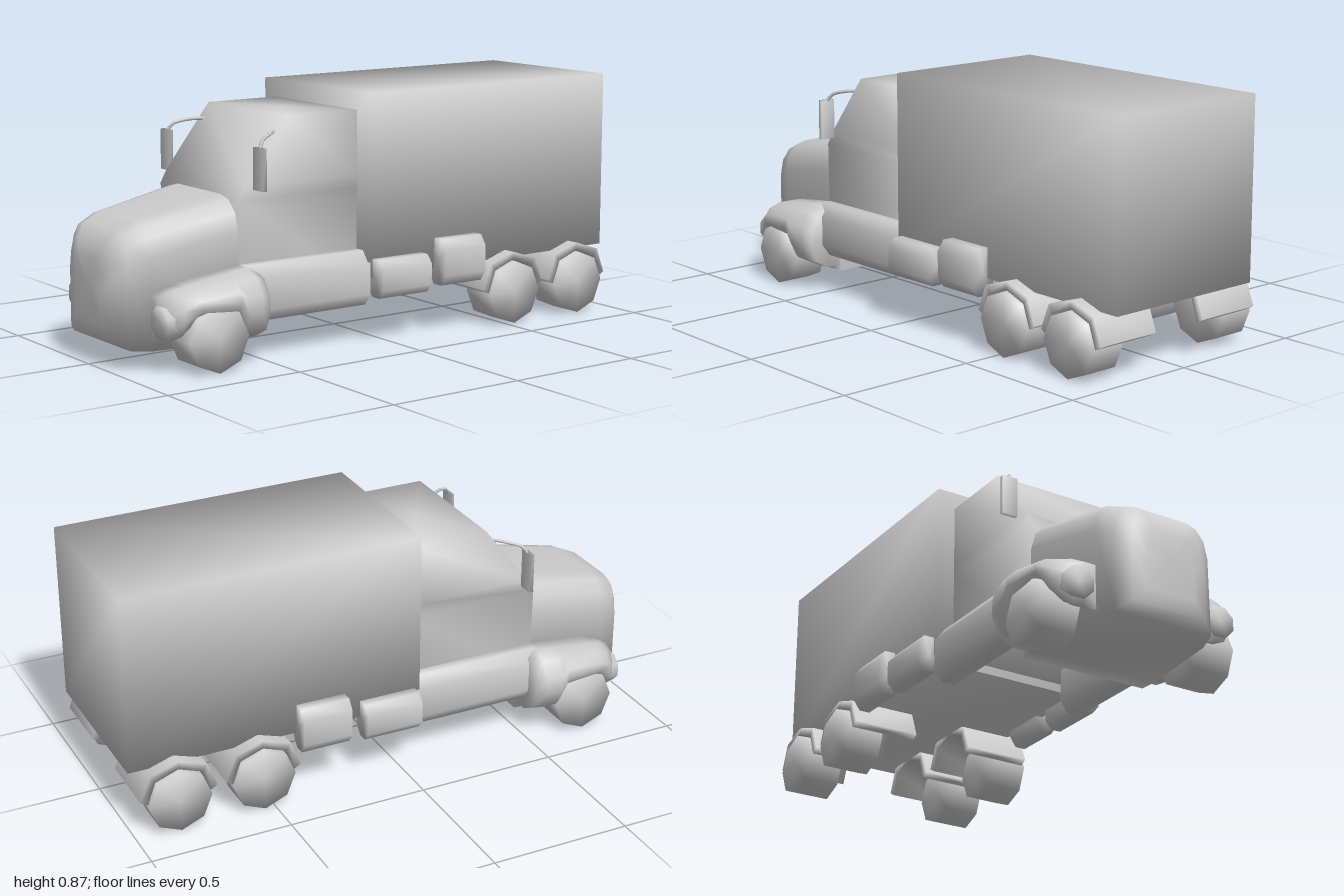
import * as THREE from 'three';
import { mergeVertices } from 'three/addons/utils/BufferGeometryUtils.js';

const paint = new THREE.MeshStandardMaterial({ color: 0xcccccc, side: THREE.DoubleSide });
paint.name = 'plain grey';

// Shared vertices so that normals blend over every edge
function soften(geo) {
  geo.deleteAttribute('uv');
  geo.deleteAttribute('normal');
  const merged = mergeVertices(geo, 1e-4);
  merged.computeVertexNormals();
  return merged;
}

// Skin through closed rings of [x, y, z] points, with optional end caps
function loft(rings, capStart = true, capEnd = true) {
  const n = rings[0].length;
  const points = rings.flat();
  const index = [];
  for (let r = 0; r < rings.length - 1; r++) {
    for (let i = 0; i < n; i++) {
      const a = r * n + i, b = r * n + (i + 1) % n;
      index.push(a, b, b + n, a, b + n, a + n);
    }
  }
  const cap = (r, reverse) => {
    const centre = points.length;
    points.push([0, 1, 2].map(k => rings[r].reduce((sum, p) => sum + p[k], 0) / n));
    for (let i = 0; i < n; i++) {
      const a = r * n + i, b = r * n + (i + 1) % n;
      index.push(centre, ...(reverse ? [b, a] : [a, b]));
    }
  };
  if (capStart) cap(0, true);
  if (capEnd) cap(rings.length - 1, false);

  // Turn all faces outward using the signed volume about the middle
  const v = points.map(p => new THREE.Vector3(...p));
  const mid = new THREE.Box3().setFromPoints(v).getCenter(new THREE.Vector3());
  const rel = v.map(p => p.clone().sub(mid));
  let volume = 0;
  for (let i = 0; i < index.length; i += 3) {
    volume += rel[index[i]].dot(rel[index[i + 1]].clone().cross(rel[index[i + 2]]));
  }
  if (volume < 0) index.reverse();

  const geo = new THREE.BufferGeometry().setFromPoints(v);
  geo.setIndex(index);
  return soften(geo);
}

// Prism along z with chamfered long edges
function tankGeometry(x0, x1, y0, y1, z0, z1) {
  const cx = (x1 - x0) * 0.28, cy = (y1 - y0) * 0.22;
  const section = [
    [x0 + cx, y0], [x1 - cx, y0], [x1, y0 + cy], [x1, y1 - cy],
    [x1 - cx, y1], [x0 + cx, y1], [x0, y1 - cy], [x0, y0 + cy],
  ];
  return loft([z0, z1].map(z => section.map(([x, y]) => [x, y, z])));
}

export function createModel() {
  const truck = new THREE.Group();
  truck.name = 'truck';
  const add = (name, geo) => {
    const mesh = new THREE.Mesh(geo, paint);
    mesh.name = name;
    truck.add(mesh);
    return mesh;
  };

  // Cargo box
  add('cargoBox', soften(new THREE.BoxGeometry(0.62, 0.635, 1.08)))
    .position.set(0, 0.5475, -0.46);

  // Cab shell, open underneath, with a sloping windscreen
  const cabRings = [[0.2, 0.56], [0.535, 0.565], [0.58, 0.54], [0.802, 0.365]].map(([y, front]) => [
    [-0.245, y, 0.075], [0.245, y, 0.075], [0.245, y, front], [-0.245, y, front],
  ]);
  add('cab', loft(cabRings, false, true));

  // Hood: z, half width, top, bottom
  const hoodRings = [
    [0.51, 0.235, 0.53, 0.065], [0.565, 0.24, 0.545, 0.065], [0.88, 0.207, 0.485, 0.065],
    [0.95, 0.185, 0.455, 0.072], [0.985, 0.14, 0.41, 0.105], [1.0, 0.09, 0.36, 0.15],
  ].map(([z, w, top, bottom]) => {
    const half = [[w, bottom], [w, top - 0.11], [w * 0.93, top - 0.05], [w * 0.77, top - 0.012], [w * 0.55, top]];
    const other = half.map(([x, y]) => [-x, y]).reverse();
    return [...half, ...other].map(([x, y]) => [x, y, z]);
  });
  add('hood', loft(hoodRings));

  for (const [side, s] of [['left', 1], ['right', -1]]) {
    // Front fender: z, outer x, top, bottom (the bottom arches over the wheel)
    const fenderRings = [
      [0.52, 0.365, 0.305, 0.085], [0.56, 0.382, 0.318, 0.085], [0.615, 0.39, 0.312, 0.09],
      [0.645, 0.388, 0.308, 0.165], [0.79, 0.375, 0.285, 0.17],
      [0.84, 0.35, 0.272, 0.11], [0.88, 0.31, 0.25, 0.095],
    ].map(([z, outer, top, bottom]) => {
      const inner = 0.19, d = outer - inner, h = top - bottom;
      return [
        [inner, bottom], [inner + 0.55 * d, bottom], [inner + 0.85 * d, bottom + 0.13 * h],
        [outer, bottom + 0.42 * h], [outer - 0.02 * d, top - 0.33 * h],
        [inner + 0.8 * d, top - 0.1 * h], [inner + 0.5 * d, top], [inner, top],
      ].map(([x, y]) => [s * x, y, z]);
    });
    add(side + 'FrontFender', loft(fenderRings));

    // Headlight
    const lamp = new THREE.CylinderGeometry(0.057, 0.057, 0.07, 8);
    lamp.rotateY(Math.PI / 8).rotateX(Math.PI / 2);
    add(side + 'Headlight', soften(lamp)).position.set(s * 0.274, 0.172, 0.855);

    // Eight-sided wheels
    for (const [name, z] of [['FrontWheel', 0.72], ['MiddleWheel', -0.535], ['RearWheel', -0.84]]) {
      const wheel = new THREE.CylinderGeometry(0.113, 0.113, 0.132, 8);
      wheel.rotateZ(Math.PI / 2);
      add(side + name, soften(wheel)).position.set(s * 0.302, 0.113, z);
    }

    // Arched mudguards over the rear wheels: outer and inner z, y
    for (const [name, z] of [['MiddleMudguard', -0.535], ['RearMudguard', -0.84]]) {
      const arch = [
        [-0.137, 0.135, -0.112, 0.12], [-0.102, 0.225, -0.083, 0.2], [0, 0.258, 0, 0.23],
        [0.102, 0.225, 0.083, 0.2], [0.137, 0.135, 0.112, 0.12],
      ];
      add(side + name, loft(arch.map(([zo, yo, zi, yi]) => [
        [s * 0.11, yo, z + zo], [s * 0.357, yo, z + zo],
        [s * 0.357, yi, z + zi], [s * 0.11, yi, z + zi],
      ])));
    }

    // Side tanks
    const tanks = [
      ['StepTank', 0.2, 0.312, 0.13, 0.322, 0.07, 0.56],
      ['FuelTank', 0.285, 0.372, 0.16, 0.293, -0.15, 0.06],
      ['ToolBox', 0.285, 0.375, 0.173, 0.337, -0.39, -0.21],
    ];
    for (const [name, x0, x1, ...rest] of tanks) {
      add(side + name, tankGeometry(Math.min(s * x0, s * x1), Math.max(s * x0, s * x1), ...rest));
    }

    // Mirror on a bent arm
    add(side + 'Mirror', soften(new THREE.BoxGeometry(0.057, 0.142, 0.016)))
      .position.set(s * 0.291, 0.641, 0.51);
    const arm = new THREE.CatmullRomCurve3([
      [0.2, 0.752, 0.385], [0.255, 0.746, 0.45], [0.28, 0.73, 0.495], [0.292, 0.7, 0.51],
    ].map(([x, y, z]) => new THREE.Vector3(s * x, y, z)));
    add(side + 'MirrorArm', new THREE.TubeGeometry(arm, 8, 0.006, 6));
  }
  return truck;
}
